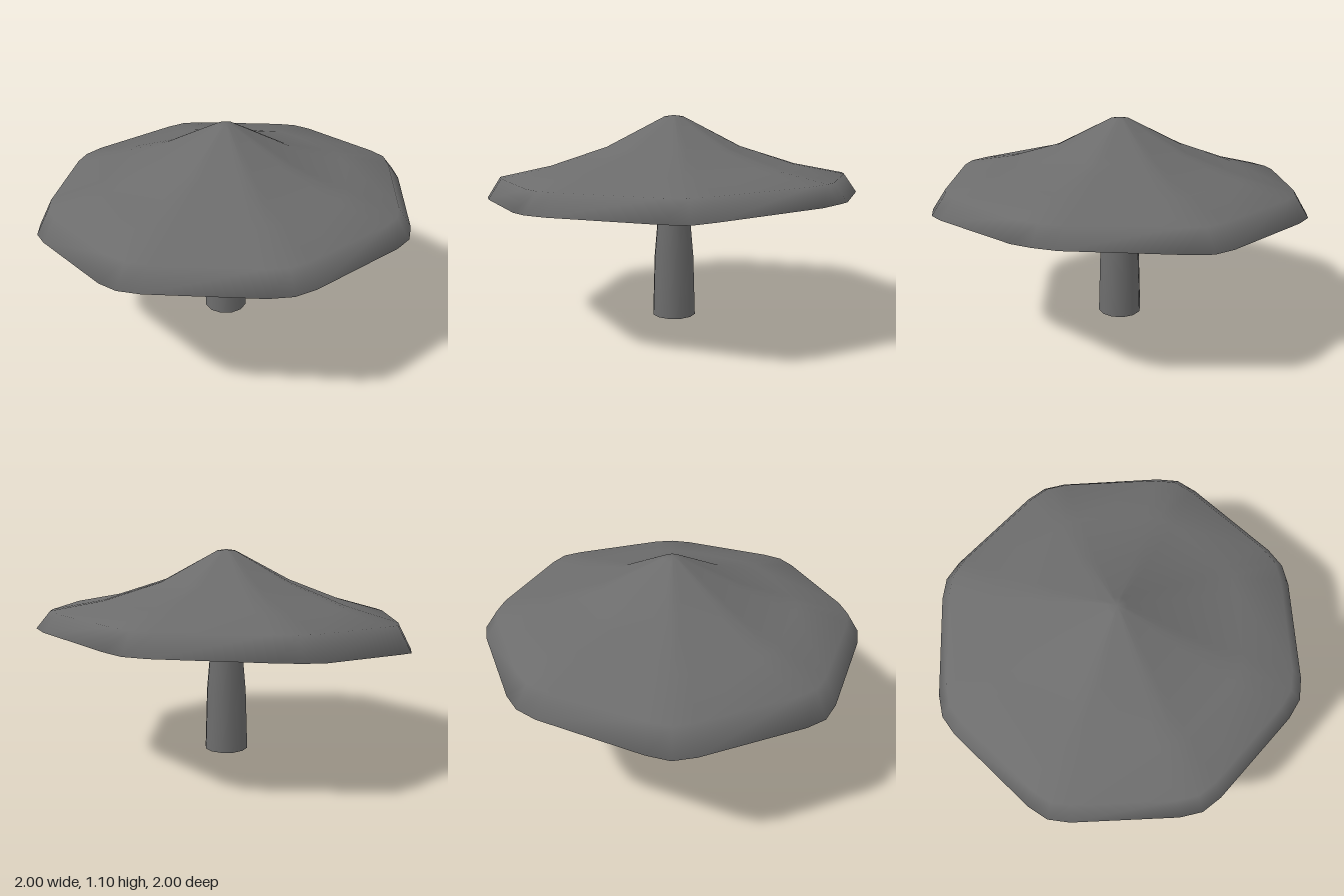
import * as THREE from 'three';

const material = new THREE.MeshStandardMaterial({ color: 0x6c6c6c, side: THREE.DoubleSide });

// Rim droop at each of the eight corners, from +x round through +z
const droop = [0, 0, -0.02, -0.075, -0.07, -0.02, 0, 0.035];
const CORNER = THREE.MathUtils.degToRad(6.6);

// Rounded-corner octagon: three points per corner, the outer two leaning to the next corner's height
function ring([radius, y, weight]) {
  const points = [];
  for (let k = 0; k < 8; k++) {
    for (const side of [-1, 0, 1]) {
      const angle = (k * Math.PI) / 4 + side * CORNER;
      const r = radius * (side === 0 ? 1 : 0.982);
      const next = droop[(k + side + 8) % 8];
      const drop = THREE.MathUtils.lerp(droop[k], next, side === 0 ? 0 : 0.2);
      points.push([r * Math.cos(angle), y + weight * drop, r * Math.sin(angle)]);
    }
  }
  return points;
}

// Surface through rings running from the rim inward, closed at an apex
function dome(profile, apexY, facesUp) {
  const rings = profile.map(ring);
  const n = rings[0].length;
  const positions = [...rings.flat(), [0, apexY, 0]].flat();
  const apex = rings.length * n;
  const index = [];
  const face = (a, b, c) => (facesUp ? index.push(a, b, c) : index.push(a, c, b));
  for (let i = 0; i < rings.length; i++) {
    for (let j = 0; j < n; j++) {
      const a = i * n + j;
      const b = i * n + ((j + 1) % n);
      if (i === rings.length - 1) {
        face(a, apex, b);
      } else {
        face(a, a + n, b);
        face(b, a + n, b + n);
      }
    }
  }
  const geometry = new THREE.BufferGeometry();
  geometry.setAttribute('position', new THREE.Float32BufferAttribute(positions, 3));
  geometry.setIndex(index);
  geometry.computeVertexNormals();
  return geometry;
}

function add(group, name, geometry) {
  const mesh = new THREE.Mesh(geometry, material);
  mesh.name = name;
  group.add(mesh);
}

export function createModel() {
  const model = new THREE.Group();
  model.name = 'mushroom';

  // Cap: lip, sloping rim band, flared skirt and steep peak; [radius, height, droop share]
  const cap = new THREE.Group();
  cap.name = 'cap';
  add(cap, 'capTop', dome([
    [0.945, 0.69, 1],
    [1.0, 0.685, 1],
    [0.93, 0.785, 0.55],
    [0.66, 0.837, 0.25],
    [0.36, 0.932, 0],
    [0.05, 1.093, 0],
  ], 1.1, true));

  // Hollow underside, rising from the inner edge of the lip
  add(cap, 'capUnderside', dome([
    [0.945, 0.69, 1],
    [0.9, 0.75, 0.6],
    [0.64, 0.795, 0.25],
    [0.34, 0.875, 0],
    [0.06, 0.94, 0],
  ], 0.95, false));
  model.add(cap);

  // Stem: open tube tapering upward into the cap
  const stemProfile = [[0.119, 0], [0.109, 0.33], [0.079, 0.67], [0.064, 0.97]]
    .map(([r, y]) => new THREE.Vector2(r, y));
  add(model, 'stem', new THREE.LatheGeometry(stemProfile, 12, Math.PI / 12));

  return model;
}
